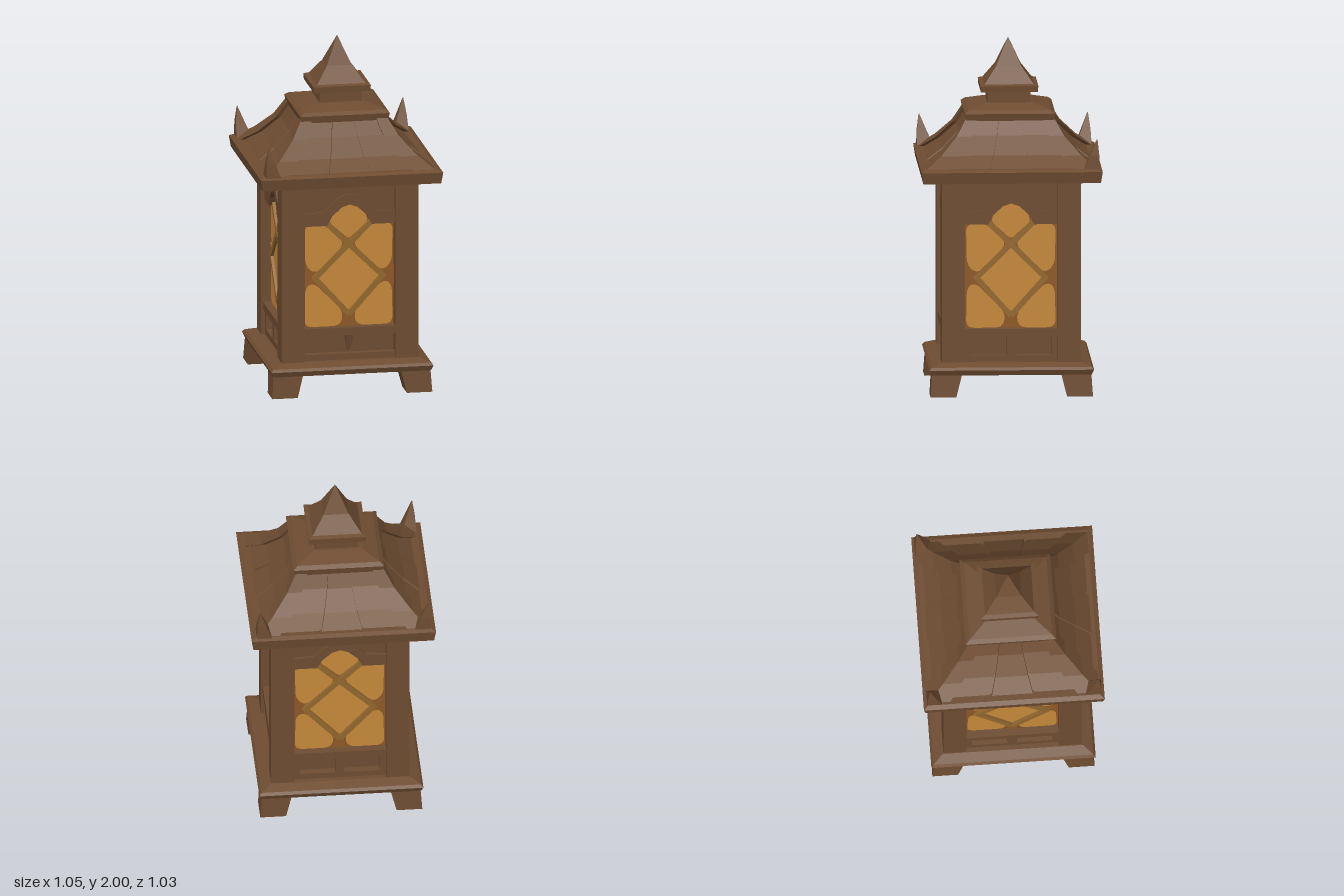
import * as THREE from 'three';

const mat = (name, color) => {
  const m = new THREE.MeshStandardMaterial({ color });
  m.name = name;
  return m;
};

export function createModel() {
  const wood = mat('brown wood', 0x6e4c31);
  const amber = mat('amber glass', 0xc6893a);
  const rust = mat('dark amber glass', 0x8f5827);
  const bronze = mat('lattice bronze', 0x93682f);

  const model = new THREE.Group();
  model.name = 'lantern';

  const add = (parent, name, geometry, material = wood) => {
    const mesh = new THREE.Mesh(geometry, material);
    mesh.name = name;
    parent.add(mesh);
    return mesh;
  };
  const flat = (g) => {
    const n = g.index ? g.toNonIndexed() : g;
    n.computeVertexNormals();
    return n;
  };

  // Square solid from a [half width, y] profile, bottom to top
  const squareLathe = (profile) => flat(new THREE.LatheGeometry(
    profile.map(([h, y]) => new THREE.Vector2(h * Math.SQRT2, y)), 4).rotateY(Math.PI / 4));

  // Solid from matching rings, listed upward, each counter-clockwise from above
  const loft = (rings) => {
    const pos = [], n = rings[0].length, last = rings[rings.length - 1];
    const tri = (...p) => p.forEach((v) => pos.push(...v));
    for (let j = 0; j < rings.length - 1; j++) {
      for (let i = 0; i < n; i++) {
        const k = (i + 1) % n, lo = rings[j], hi = rings[j + 1];
        tri(lo[i], lo[k], hi[k]);
        tri(lo[i], hi[k], hi[i]);
      }
    }
    for (let i = 1; i < n - 1; i++) {
      tri(rings[0][0], rings[0][i + 1], rings[0][i]);
      tri(last[0], last[i], last[i + 1]);
    }
    const g = new THREE.BufferGeometry();
    g.setAttribute('position', new THREE.Float32BufferAttribute(pos, 3));
    return flat(g);
  };
  const rect = (x0, x1, z0, z1, y) => [[x0, y, z1], [x1, y, z1], [x1, y, z0], [x0, y, z0]];
  const box = (x0, x1, y0, y1, z0, z1) => new THREE.BoxGeometry(x1 - x0, y1 - y0, z1 - z0)
    .translate((x0 + x1) / 2, (y0 + y1) / 2, (z0 + z1) / 2);
  const toShape = (pts) => new THREE.Shape(pts.map(([x, y]) => new THREE.Vector2(x, y)));
  const plate = (shape, z0, z1) => new THREE.ExtrudeGeometry(shape,
    { depth: z1 - z0, bevelEnabled: false }).translate(0, 0, z0);

  // Polygon with softened corners
  const roundShape = (pts, r) => {
    const s = new THREE.Shape(), v = pts.map(([x, y]) => new THREE.Vector2(x, y));
    v.forEach((p, i) => {
      const toward = (q) => p.clone().add(q.clone().sub(p).setLength(Math.min(r, p.distanceTo(q) / 2)));
      const a = toward(v[(i + v.length - 1) % v.length]), b = toward(v[(i + 1) % v.length]);
      if (i) s.lineTo(a.x, a.y); else s.moveTo(a.x, a.y);
      s.quadraticCurveTo(p.x, p.y, b.x, b.y);
    });
    s.closePath();
    return s;
  };

  // Body: core, feet and stepped base
  const body = new THREE.Group();
  body.name = 'body';
  body.position.x = 0.01;
  model.add(body);
  add(body, 'core', box(-0.33, 0.33, 0.17, 1.25, -0.33, 0.33));
  add(body, 'base', squareLathe([[0, 0.125], [0.455, 0.125], [0.468, 0.155], [0.455, 0.17], [0.4, 0.19], [0, 0.19]]));
  for (let i = 0; i < 4; i++) {
    const corner = new THREE.Group();
    corner.name = 'corner';
    corner.rotation.y = i * Math.PI / 2;
    body.add(corner);
    add(corner, 'foot', loft([rect(0.315, 0.462, 0.315, 0.462, 0), rect(0.28, 0.452, 0.28, 0.452, 0.14)]));
    add(corner, 'pillar', box(0.262, 0.395, 0.18, 1.25, 0.262, 0.395));
  }

  // Window walls
  const arch = [[-0.13, 0.98], [-0.1, 1.035], [-0.045, 1.085], [0, 1.1], [0.045, 1.085], [0.1, 1.035], [0.13, 0.98]];
  const archTop = [[0.27, 1.05], [0.15, 1.06], [0.11, 1.1], [0.05, 1.15], [0, 1.16],
    [-0.05, 1.15], [-0.11, 1.1], [-0.15, 1.06], [-0.27, 1.05]];
  const panes = [
    [[0, 0.47], [0.18, 0.665], [0, 0.85], [-0.18, 0.665]],
    [[0, 0.89], [0.11, 0.99], [0.1, 1.035], [0.045, 1.085], [0, 1.1], [-0.045, 1.085], [-0.1, 1.035], [-0.11, 0.99]],
  ];
  for (const s of [1, -1]) {
    panes.push([[0.02, 0.865], [0.14, 0.98], [0.255, 0.98], [0.25, 0.74], [0.19, 0.69]].map(([x, y]) => [s * x, y]));
    panes.push([[0.25, 0.615], [0.2, 0.64], [0.03, 0.465], [0.045, 0.38], [0.255, 0.38]].map(([x, y]) => [s * x, y]));
  }
  for (let i = 0; i < 4; i++) {
    const wall = new THREE.Group();
    wall.name = 'windowWall';
    wall.rotation.y = i * Math.PI / 2;
    body.add(wall);

    add(wall, 'glassBacking', box(-0.265, 0.265, 0.36, 1.12, 0.33, 0.336), rust);
    panes.forEach((p, k) => add(wall, 'pane',
      new THREE.ShapeGeometry(roundShape(p, k < 2 ? 0.02 : 0.05)).translate(0, 0, 0.339), amber));

    // Crossed lattice bars
    const bar = (x0, y0, x1, y1, w, z) => {
      const m = add(wall, 'latticeBar', new THREE.BoxGeometry(Math.hypot(x1 - x0, y1 - y0), w, 0.024), bronze);
      m.position.set((x0 + x1) / 2, (y0 + y1) / 2, z);
      m.rotation.z = Math.atan2(y1 - y0, x1 - x0);
    };
    for (const s of [1, -1]) {
      bar(s * 0.205, 0.66, s * -0.13, 0.99, 0.03, 0.344 + s * 0.001);
      bar(s * 0.205, 0.68, 0, 0.45, 0.03, 0.344 + s * 0.001);
      add(wall, 'latticeJoint', plate(toShape([[0.19, 0.66], [0.265, 0.61], [0.265, 0.73]]
        .map(([x, y]) => [s * x, y])), 0.336, 0.342), rust);
    }
    add(wall, 'latticeStem', plate(toShape([[-0.045, 0.37], [0.045, 0.37], [0.02, 0.46], [-0.02, 0.46]]), 0.336, 0.344), rust);

    // Arched header and its raised trim
    add(wall, 'header', plate(toShape([[-0.27, 0.98], ...arch, [0.27, 0.98], [0.27, 1.25], [-0.27, 1.25]]), 0.325, 0.358));
    add(wall, 'archTrim', plate(toShape([[-0.27, 0.98], ...arch, [0.27, 0.98], ...archTop]), 0.33, 0.375));

    // Sill and lower panel
    add(wall, 'sill', box(-0.265, 0.265, 0.335, 0.38, 0.32, 0.385));
    add(wall, 'lowerRail', box(-0.265, 0.265, 0.18, 0.225, 0.32, 0.372));
    if (i === 0) {
      add(wall, 'peg', loft([rect(-0.008, 0.008, 0.32, 0.35, 0.24), rect(-0.025, 0.025, 0.32, 0.37, 0.34)]));
    } else {
      for (const x of [-0.255, 0, 0.255]) add(wall, 'panelPost', box(x - 0.026, x + 0.026, 0.2, 0.35, 0.32, 0.372));
    }
  }

  // Roof: eave, sunken slope, hips, boards
  const roof = new THREE.Group();
  roof.name = 'roof';
  model.add(roof);
  const slope = [[0.495, 1.305, 0.125], [0.4, 1.375, 0.11], [0.305, 1.475, 0.085], [0.25, 1.57, 0.065]];
  const eave = add(roof, 'eave', squareLathe([[0, 1.235], [0.505, 1.235], [0.515, 1.3], [0.49, 1.312], [0, 1.312]]));
  eave.scale.x = 1.02;
  add(roof, 'slope', squareLathe([[0, 1.3], ...slope.map(([h, y]) => [h - 0.035, y]), [0, 1.57]]));
  const boards = [[-1.05, -0.37, 0.01], [-0.34, 0.3, 0.016], [0.33, 1.05, 0.008]];
  for (let i = 0; i < 4; i++) {
    const side = new THREE.Group();
    side.name = 'roofSide';
    side.rotation.y = i * Math.PI / 2;
    roof.add(side);
    add(side, 'hip', loft(slope.map(([h, y, w]) => [
      [h - w, y, h], [h, y, h], [h, y, h - w], [h - 0.06, y, h - w], [h - w, y, h - 0.06]])));
    for (const [a, b, lift] of boards) {
      add(side, 'roofBoard', loft(slope.map(([h, y, w]) =>
        rect(a * (h - w), b * (h - w), h - 0.06, h - 0.035 + lift, y))));
    }
    // Upturned corner horns on three corners
    if (i > 0) {
      add(side, 'cornerHorn', loft([rect(0.405, 0.5, 0.405, 0.495, 1.3),
        rect(0.445, 0.497, 0.44, 0.49, 1.39), rect(0.483, 0.487, 0.473, 0.477, 1.48)]));
    }
  }

  // Stacked cap, neck and spire
  const top = new THREE.Group();
  top.name = 'roofTop';
  top.position.x = 0.006;
  roof.add(top);
  add(top, 'roofCap', squareLathe([[0, 1.555], [0.25, 1.555], [0.258, 1.595], [0.235, 1.612], [0.14, 1.64], [0, 1.64]]));
  add(top, 'neck', squareLathe([[0, 1.63], [0.123, 1.63], [0.123, 1.71], [0, 1.71]]));
  add(top, 'spire', squareLathe([[0, 1.705], [0.162, 1.705], [0.165, 1.74], [0.14, 1.747], [0.072, 1.84], [0, 2]]));
  return model;
}
